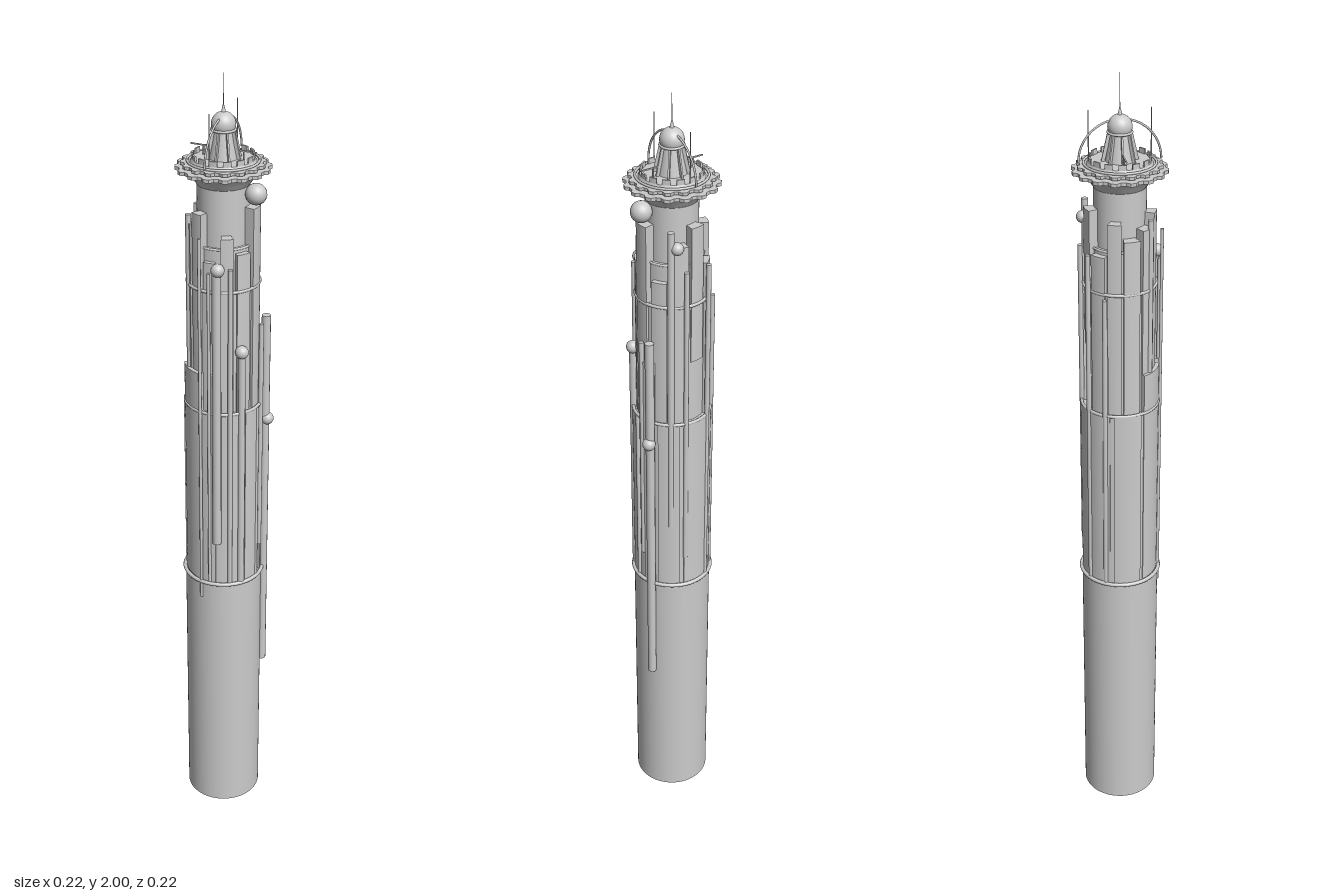
import * as THREE from 'three';

const grey = new THREE.MeshStandardMaterial({ color: 0xcccccc, side: THREE.DoubleSide });

export function createModel() {
  const model = new THREE.Group();

  function add(name, geometry, x = 0, y = 0, z = 0, parent = model) {
    const mesh = new THREE.Mesh(geometry, grey);
    mesh.name = name;
    mesh.position.set(x, y, z);
    parent.add(mesh);
    return mesh;
  }

  // Upright round part between two heights
  function column(name, r0, r1, y0, y1, x = 0, z = 0, sides = 48, open = false) {
    return add(name, new THREE.CylinderGeometry(r1, r0, y1 - y0, sides, 1, open), x, (y0 + y1) / 2, z);
  }

  // Curved cladding plate; angles in degrees, 0 = front, 90 = left (+x)
  function plate(name, a0, a1, r0, r1, y0, y1) {
    const s = THREE.MathUtils.degToRad(a0 - 90), e = THREE.MathUtils.degToRad(a1 - 90);
    const shape = new THREE.Shape();
    shape.absarc(0, 0, r1, s, e, false);
    shape.absarc(0, 0, r0, e, s, true);
    const g = new THREE.ExtrudeGeometry(shape, { depth: y1 - y0, bevelEnabled: false, curveSegments: 8 });
    g.rotateX(-Math.PI / 2);
    g.scale(1, 1, 1);
    // shape angle s maps to (cos s, -sin s) in x,z, so front is -90 degrees
    return add(name, g, 0, y0, 0);
  }

  // Scalloped deck with rounded lobes around its rim
  function scallopedDeck(name, radius, depth, lobes, y, height, hole) {
    const shape = new THREE.Shape();
    const n = lobes * 10;
    for (let i = 0; i < n; i++) {
      const a = (i / n) * Math.PI * 2;
      const wave = THREE.MathUtils.clamp(Math.sin(a * lobes) * 1.8, -1, 1);
      const r = radius - depth * (0.5 - 0.5 * wave);
      if (i) shape.lineTo(r * Math.cos(a), r * Math.sin(a));
      else shape.moveTo(r * Math.cos(a), r * Math.sin(a));
    }
    if (hole) {
      const h = new THREE.Path();
      h.absarc(0, 0, hole, 0, Math.PI * 2, true);
      shape.holes.push(h);
    }
    const g = new THREE.ExtrudeGeometry(shape, { depth: height, bevelEnabled: false, curveSegments: 32 });
    g.rotateX(-Math.PI / 2);
    return add(name, g, 0, y, 0);
  }

  function band(name, r, tube, y) {
    return add(name, new THREE.TorusGeometry(r, tube, 8, 64).rotateX(Math.PI / 2), 0, y, 0);
  }

  // Stepped tower shaft
  column('lowerShaft', 0.097, 0.097, 0, 0.72, 0, 0, 64, true);
  column('middleShaft', 0.092, 0.092, 0.7, 1.2, 0, 0, 64);
  column('upperShaft', 0.081, 0.081, 1.2, 1.51, 0, 0, 64);
  column('shoulder', 0.072, 0.072, 1.51, 1.61, 0, 0, 64);
  column('neck', 0.061, 0.061, 1.61, 1.76, 0, 0, 64);

  // Rings at the steps
  band('lowerRing', 0.099, 0.005, 0.717);
  band('middleRing', 0.093, 0.004, 1.2);
  band('upperRing', 0.085, 0.004, 1.51);
  band('shoulderRing', 0.072, 0.003, 1.61);

  // Cladding: start angle, end angle, outer radius, bottom, top
  [
    [-62, -10, 0.094, 0.72, 1.3], [2, 14, 0.095, 0.72, 1.3],
    [25, 52, 0.094, 0.72, 1.2], [60, 84, 0.096, 0.72, 1.2],
    [100, 118, 0.096, 0.72, 1.36], [125, 158, 0.095, 0.72, 1.2],
    [165, 205, 0.096, 0.72, 1.2], [212, 245, 0.095, 0.72, 1.2],
    [252, 292, 0.097, 0.72, 1.2],
    [-62, -36, 0.086, 1.2, 1.66], [-33, -12, 0.084, 1.2, 1.69],
    [-8, 12, 0.083, 1.2, 1.58], [22, 42, 0.086, 1.2, 1.64],
    [48, 72, 0.086, 1.2, 1.6], [78, 104, 0.087, 1.2, 1.7],
    [112, 138, 0.085, 1.2, 1.57], [145, 172, 0.087, 1.2, 1.66],
    [178, 204, 0.084, 1.36, 1.7], [210, 236, 0.087, 1.2, 1.6],
    [240, 262, 0.084, 1.2, 1.68], [266, 292, 0.088, 1.2, 1.64],
  ].forEach(([a0, a1, r, y0, y1]) => plate('claddingPlate', a0, a1, r - 0.025, r, y0, y1));

  // Vertical service pipes: x, z, radius, bottom, top
  [
    [0.027, 0.092, 0.011, 0.84, 1.56], [-0.015, 0.096, 0.004, 0.67, 1.64],
    [0.008, 0.095, 0.004, 0.72, 1.56], [0.075, 0.055, 0.009, 0.72, 1.36],
    [0.055, 0.076, 0.006, 0.72, 1.57], [0.094, 0.008, 0.005, 0.72, 1.2],
    [0.094, -0.012, 0.006, 0.8, 1.41], [0.092, -0.043, 0.011, 0.42, 1.42],
    [0.052, -0.073, 0.008, 0.9, 1.7], [0.02, -0.09, 0.006, 0.8, 1.6],
    [-0.045, -0.083, 0.006, 0.72, 1.6], [-0.08, -0.05, 0.006, 0.72, 1.5],
    [-0.06, 0.06, 0.007, 1.25, 1.68],
  ].forEach(([x, z, r, y0, y1]) => column('servicePipe', r, r, y0, y1, x, z, 12));

  // Round lamps and the large sensor below the deck: x, y, z, radius
  [
    [0.03, 1.57, 0.092, 0.016], [0.075, 1.36, 0.055, 0.016],
    [0.097, 1.145, -0.045, 0.016], [0.04, 1.66, -0.08, 0.015],
    [0.082, 1.73, 0, 0.025],
  ].forEach(([x, y, z, r]) => add('roundLamp', new THREE.SphereGeometry(r, 20, 14), x, y, z));
  add('sensorArm', new THREE.CylinderGeometry(0.012, 0.012, 0.04, 16).rotateZ(Math.PI / 2), 0.065, 1.73, 0);

  // Flared collar and scalloped gallery decks
  add('collar', new THREE.LatheGeometry([
    [0.061, 1.745], [0.068, 1.755], [0.078, 1.77], [0.09, 1.78],
  ].map(p => new THREE.Vector2(...p)), 64));
  scallopedDeck('mainDeck', 0.11, 0.008, 16, 1.778, 0.008);
  scallopedDeck('upperDeck', 0.098, 0.008, 16, 1.789, 0.007);
  band('deckRing', 0.082, 0.003, 1.799);
  column('deckPlinth', 0.076, 0.072, 1.795, 1.803);

  // Broken parapet around the lantern
  for (let i = 0; i < 14; i++) {
    const a = (i * 360) / 14;
    plate('parapetSegment', a, a + 15, 0.068, 0.072, 1.8, 1.815);
  }

  // Lantern, ribs, dome and finial
  column('lantern', 0.034, 0.021, 1.8, 1.87, 0, 0, 32);
  for (let i = 0; i < 8; i++) {
    const pivot = new THREE.Group();
    pivot.name = 'lanternRib';
    pivot.rotation.y = (i * Math.PI) / 4;
    model.add(pivot);
    const rib = add('rib', new THREE.BoxGeometry(0.004, 0.065, 0.008), 0, 1.833, 0.032, pivot);
    rib.rotation.x = -0.22;
  }
  band('domeRing', 0.027, 0.003, 1.868);
  add('dome', new THREE.SphereGeometry(0.028, 32, 20), 0, 1.88, 0);
  column('finial', 0.007, 0.001, 1.9, 1.925, 0, 0, 12);
  column('needle', 0.0008, 0.0004, 1.92, 2, 0, 0, 6);

  // Hoop across the gallery with its aerials
  add('hoop', new THREE.TorusGeometry(0.094, 0.0025, 8, 48, Math.PI).rotateY(Math.PI / 2), 0, 1.803, 0);
  for (const s of [-1, 1]) {
    column('aerial', 0.0015, 0.001, 1.8, 1.92, 0, s * 0.071, 8);
    add('crossBar', new THREE.BoxGeometry(0.045, 0.003, 0.003), s * 0.06, 1.825, 0);
    column('barPost', 0.002, 0.002, 1.8, 1.826, s * 0.05, 0, 8);
  }

  return model;
}
